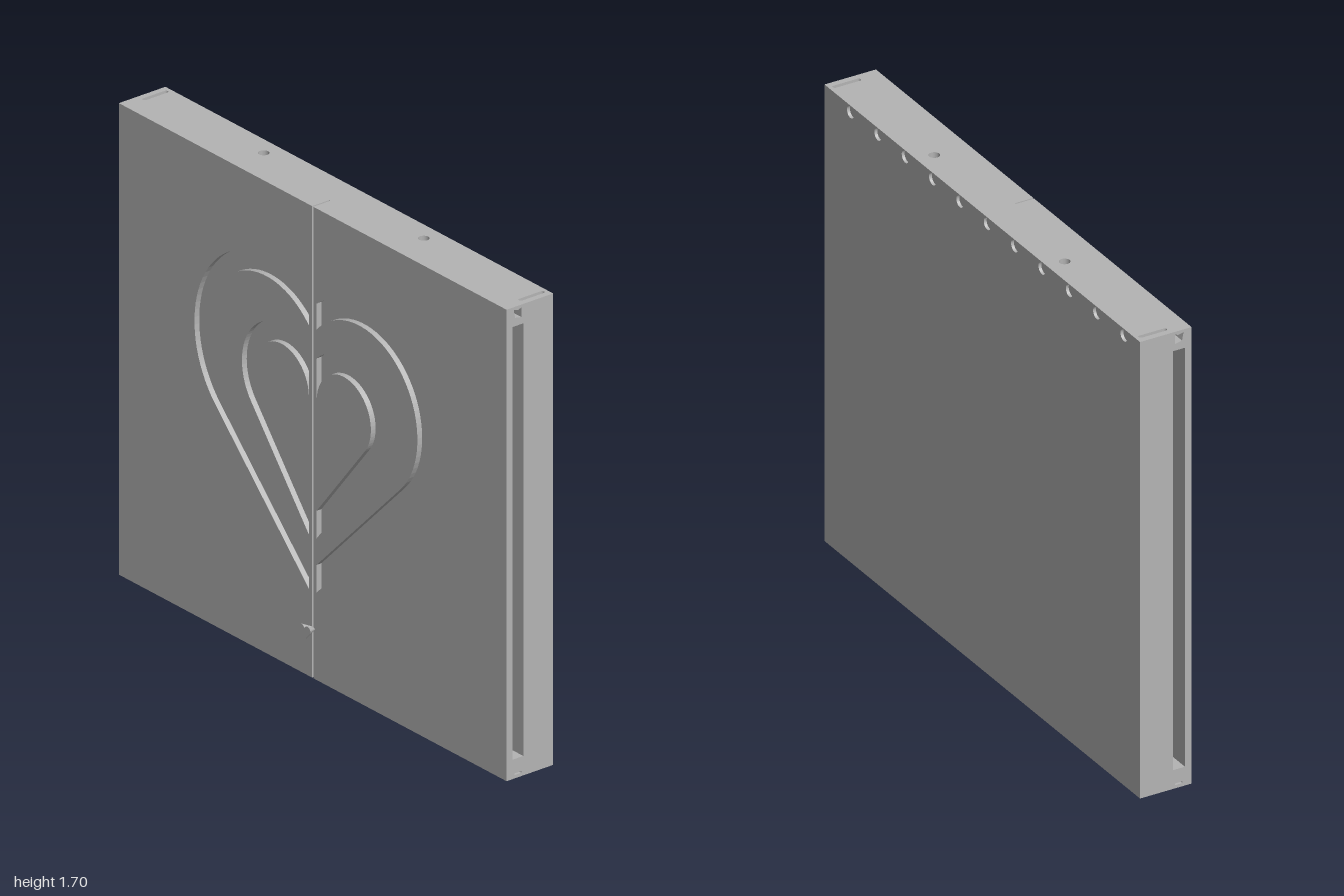
import * as THREE from 'three';

const grey = new THREE.MeshStandardMaterial({ color: 0xb4b4b4 });
const H = 1.7, BACK = -0.115, MID = 0.01, INNER = 0.055, FRONT = 0.08, SEAM = 0.003;

function add(parent, name, geometry) {
  const mesh = new THREE.Mesh(geometry, grey);
  mesh.name = name;
  parent.add(mesh);
  return mesh;
}

// Box given by its limits on each axis
function box(x0, x1, y0, y1, z0, z1) {
  return new THREE.BoxGeometry(x1 - x0, y1 - y0, z1 - z0)
    .translate((x0 + x1) / 2, (y0 + y1) / 2, (z0 + z1) / 2);
}

function rect(x0, x1, y0, y1) {
  return new THREE.Shape([[x0, y0], [x1, y0], [x1, y1], [x0, y1]].map(p => new THREE.Vector2(...p)));
}

function circle(x, y, r) {
  return new THREE.Path().absarc(x, y, r, 0, Math.PI * 2, true);
}

function extrude(shape, depth) {
  return new THREE.ExtrudeGeometry(shape, { depth, bevelEnabled: false, curveSegments: 32 });
}

// Edge of half a heart: from the upper end at the seam, round the lobe, to the lower end
function heartEdge(cx, cy, r, endAngle, lowY) {
  const x = 0.02, points = [];
  const start = Math.acos(Math.max(-1, (x - cx) / r));
  for (let i = 0; i <= 40; i++) {
    const a = start + (endAngle - start) * i / 40;
    points.push(new THREE.Vector2(cx + r * Math.cos(a), cy + r * Math.sin(a)));
  }
  points.push(new THREE.Vector2(x, lowY));
  return points;
}

function heartGroove(outer, inner) {
  return new THREE.Path([...heartEdge(...outer), ...heartEdge(...inner).reverse()]);
}

// Front half: grooved panel, with pocketed rails above and below the sliding channel
function frontHalf(name) {
  const half = new THREE.Group();
  half.name = name;
  const face = rect(SEAM, 1, 0, H);
  face.holes.push(
    heartGroove([0.24, 1.06, 0.37, -Math.PI / 4, 0.315], [0.24, 1.06, 0.3, -Math.PI / 4, 0.415]),
    heartGroove([0.16, 1.01, 0.205, -0.68, 0.51], [0.16, 1.005, 0.14, -0.68, 0.61])
  );
  add(half, 'groovedPanel', extrude(face, 0.02).translate(0, 0, FRONT - 0.02));
  add(half, 'grooveFloor', box(SEAM, 1, 0, H, INNER, FRONT - 0.02));

  const rails = [
    ['topRail', 1.63, H, [[0.018, 1.655], [0.044, 1.66], [0.05, 1.69], [0.03, 1.685], [0.018, 1.69]]],
    ['bottomRail', 0, 0.07, [[0.018, 0.012], [0.046, 0.012], [0.046, 0.018], [0.018, 0.018]]]
  ];
  for (const [railName, y0, y1, pocket] of rails) {
    const end = rect(-INNER, -MID, y0, y1);
    end.holes.push(new THREE.Path(pocket.map(([z, y]) => new THREE.Vector2(-z, y))));
    add(half, railName, box(SEAM, 0.95, y0, y1, MID, INNER));
    add(half, railName + 'End', extrude(end, 0.05).rotateY(Math.PI / 2).translate(0.95, 0, 0));
  }
  return half;
}

// Small heart knob, narrowing towards the panel
function heartKnob() {
  const s = new THREE.Shape();
  s.moveTo(0, -0.028);
  s.lineTo(0.026, 0);
  s.bezierCurveTo(0.042, 0.02, 0.014, 0.038, 0, 0.016);
  s.bezierCurveTo(-0.014, 0.038, -0.042, 0.02, -0.026, 0);
  s.closePath();
  const depth = 0.035, g = extrude(s, depth), p = g.attributes.position;
  for (let i = 0; i < p.count; i++) {
    const k = 0.35 + 0.65 * p.getZ(i) / depth;
    p.setXY(i, p.getX(i) * k, p.getY(i) * k);
  }
  g.computeVertexNormals();
  return g.translate(0, 0.175, FRONT);
}

export function createModel() {
  const model = new THREE.Group();
  model.name = 'heartPanelBox';

  // Back plate with a row of round holes under its top edge
  const plateFront = -0.104, coreTop = 1.64;
  const plate = rect(-1, 1, 0, H);
  for (let i = 0; i < 11; i++) plate.holes.push(circle(0.835 - i * 0.1733, 1.676, 0.022));
  add(model, 'backPlate', extrude(plate, plateFront - BACK).translate(0, 0, BACK));

  // Solid core and its top, with two round holes and an end slot on each side
  add(model, 'core', box(-1, 1, 0, coreTop, plateFront, MID));
  const top = rect(-1, 1, -MID, -plateFront);
  for (const side of [-1, 1]) {
    const x = side * 0.97, r = 0.008;
    top.holes.push(circle(side * 0.413, 0.05, 0.019));
    const slot = new THREE.Path();
    slot.absarc(x, 0.093, r, 0, Math.PI, false);
    slot.absarc(x, 0.004, r, Math.PI, Math.PI * 2, false);
    slot.closePath();
    top.holes.push(slot);
  }
  add(model, 'coreTop', extrude(top, H - coreTop).rotateX(-Math.PI / 2).translate(0, coreTop, 0));

  // Mirrored front halves, parted by a fine seam
  model.add(frontHalf('leftFront'));
  const right = frontHalf('rightFront');
  right.scale.x = -1;
  model.add(right);

  // Ribbed latch inside the channel, worked by the knob
  const latch = new THREE.Group();
  latch.name = 'latch';
  add(latch, 'latchBody', box(-0.05, 0.05, 0.07, 0.28, 0.016, 0.05));
  for (let i = 0; i < 9; i++) {
    const y = 0.08 + i * 0.02;
    add(latch, 'latchRib', box(-0.06, 0.06, y, y + 0.01, 0.012, 0.054));
  }
  model.add(latch);
  add(model, 'heartKnob', heartKnob());
  return model;
}
